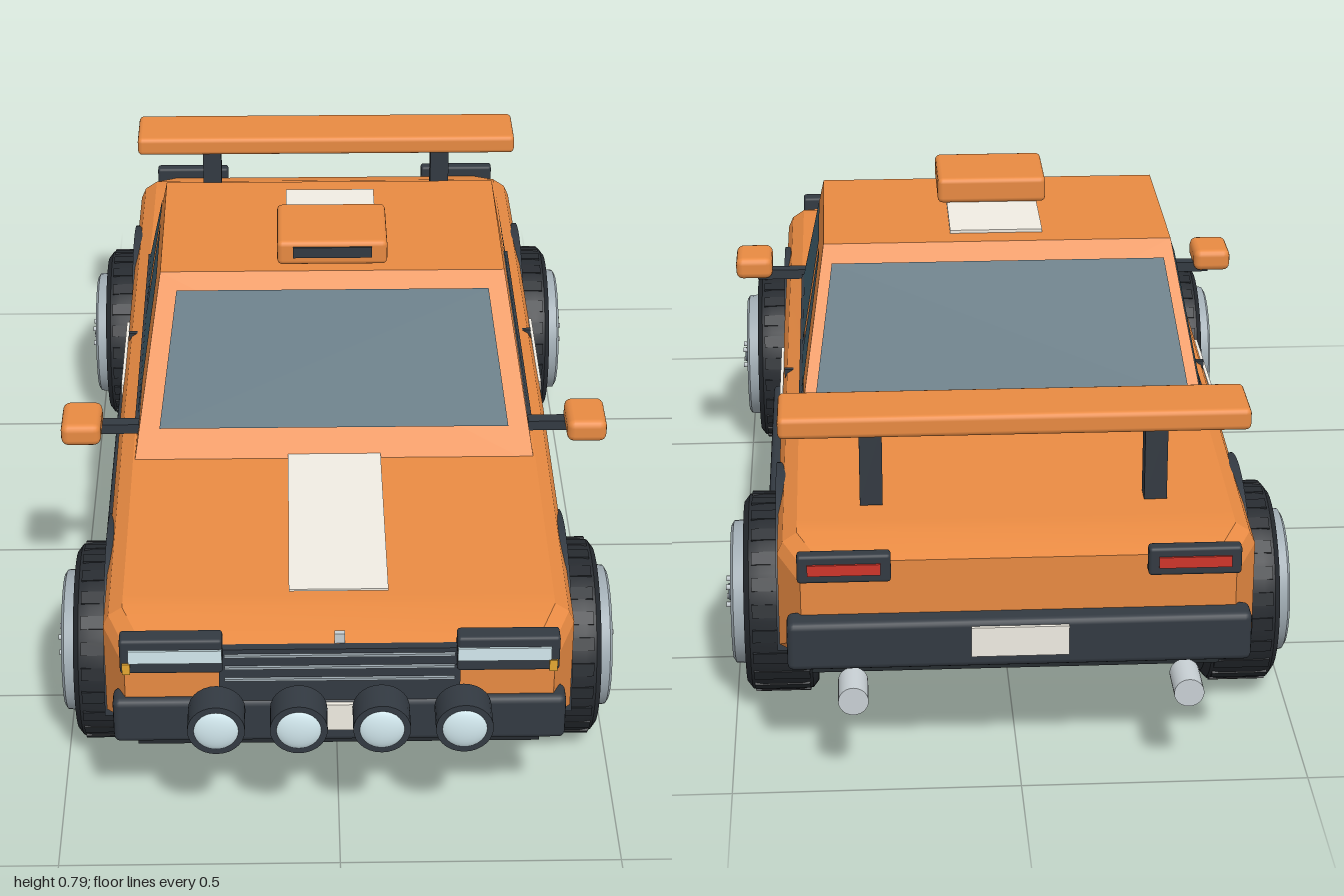
import * as THREE from 'three';
import { toCreasedNormals } from 'three/addons/utils/BufferGeometryUtils.js';
import { RoundedBoxGeometry } from 'three/addons/geometries/RoundedBoxGeometry.js';

const mat = (color, side = THREE.FrontSide) => new THREE.MeshStandardMaterial({ color, side });
const PAINT = mat(0xe88a42), DARK = mat(0x333a42), TYRE = mat(0x262a2f), UNDER = mat(0x262b2f);
const METAL = mat(0xa0acb3), DISH = mat(0x5a656d), CHROME = mat(0xc8d0d4), LENS = mat(0xd2e8ee);
const PLATE = mat(0xf0ece2), RED = mat(0xd0352a), AMBER = mat(0xe6a832), GLASS = mat(0x3f5e6c, THREE.DoubleSide);

const WHEEL_Z = [0.57, -0.59], WHEEL_R = 0.184, ARCH_R = 0.21;

function add(parent, name, geo, material, x = 0, y = 0, z = 0) {
  const m = new THREE.Mesh(geo, material);
  m.name = name;
  m.position.set(x, y, z);
  parent.add(m);
  return m;
}

// Box with optional rounded edges
function box(parent, name, material, [w, h, d], [x, y, z], r = 0) {
  const geo = r ? new RoundedBoxGeometry(w, h, d, 2, r) : new THREE.BoxGeometry(w, h, d);
  return add(parent, name, geo, material, x, y, z);
}

// Closed skin through rings of points, ordered front to back
function loft(rings) {
  const n = rings[0].length, idx = [], last = (rings.length - 1) * n;
  for (let r = 0; r < rings.length - 1; r++) {
    for (let i = 0; i < n; i++) {
      const a = r * n + i, b = r * n + (i + 1) % n;
      idx.push(a, a + n, b + n, a, b + n, b);
    }
  }
  for (let i = 1; i < n - 1; i++) idx.push(0, i, i + 1, last, last + i + 1, last + i);
  const geo = new THREE.BufferGeometry();
  geo.setAttribute('position', new THREE.Float32BufferAttribute(rings.flat(2), 3));
  geo.setIndex(idx);
  return toCreasedNormals(geo, 0.35);
}

// Body shell: cross-sections along z, with the underside lifted over the wheels
function bodyGeometry() {
  // z, half width, bottom, top
  const keys = [[0.905, 0.375, 0.21, 0.405], [0.82, 0.415, 0.17, 0.432], [0.14, 0.415, 0.17, 0.455],
    [-0.44, 0.415, 0.17, 0.44], [-0.85, 0.415, 0.17, 0.425], [-0.917, 0.375, 0.21, 0.4]];
  const stations = keys.map(k => k[0]);
  for (const c of WHEEL_Z) {
    stations.push(c + ARCH_R + 0.001, c - ARCH_R - 0.001);
    for (let i = 0; i <= 20; i++) stations.push(c + ARCH_R * Math.cos(Math.PI * i / 20));
  }
  stations.sort((a, b) => b - a);
  return loft(stations.map(z => {
    let k = 0;
    while (k < keys.length - 2 && z < keys[k + 1][0]) k++;
    const t = (keys[k][0] - z) / (keys[k][0] - keys[k + 1][0]);
    const [w, yb, yt] = [1, 2, 3].map(j => THREE.MathUtils.lerp(keys[k][j], keys[k + 1][j], t));
    let arch = 0;
    for (const c of WHEEL_Z) {
      const d = Math.abs(z - c);
      if (d <= ARCH_R + 1e-6) arch = WHEEL_R + Math.sqrt(Math.max(0, ARCH_R ** 2 - d * d));
    }
    const half = [[w - 0.065, Math.max(yb, arch)], [w, Math.max(yb + 0.04, arch)],
      [w, Math.max(yt - 0.04, arch)], [w - 0.01, yt - 0.017], [w - 0.035, yt]];
    return [...half.map(([x, y]) => [x, y, z]), ...half.reverse().map(([x, y]) => [-x, y, z])];
  }));
}

// Sloping cabin planes as functions of height
const rise = y => (y - 0.455) / 0.275;
const cabinX = y => 0.375 - 0.047 * rise(y);
const cabinFront = y => 0.355 - 0.215 * rise(y);
const cabinRear = y => -0.437 + 0.2 * rise(y);

// Flat pane drawn in two dimensions and laid on a cabin plane
function pane(parent, name, pts, place) {
  const geo = new THREE.ShapeGeometry(new THREE.Shape(pts.map(p => new THREE.Vector2(...p))));
  const pos = geo.attributes.position;
  for (let i = 0; i < pos.count; i++) pos.setXYZ(i, ...place(pos.getX(i), pos.getY(i)));
  geo.computeVertexNormals();
  add(parent, name, geo, GLASS);
}

function cabin() {
  const g = new THREE.Group();
  g.name = 'cabin';
  const ring = (zAt) => [[1, 0.435], [1, 0.73], [-1, 0.73], [-1, 0.435]].map(([s, y]) => [s * cabinX(y), y, zAt(y)]);
  add(g, 'cabinShell', loft([ring(cabinFront), ring(cabinRear)]), PAINT);
  const screen = (x0, y0, x1, y1) => [[-x0, y0], [x0, y0], [x1, y1], [-x1, y1]];
  pane(g, 'windscreen', screen(0.33, 0.495, 0.297, 0.703), (x, y) => [x, y, cabinFront(y) + 0.004]);
  pane(g, 'rearWindow', screen(0.35, 0.477, 0.313, 0.7), (x, y) => [x, y, cabinRear(y) - 0.004]);
  for (const s of [1, -1]) {
    const side = (z, y) => [s * (cabinX(y) + 0.004), y, z];
    pane(g, 'doorWindow', [[0.265, 0.485], [0.107, 0.7], [-0.128, 0.7], [-0.128, 0.485]], side);
    pane(g, 'quarterWindow', [[-0.17, 0.485], [-0.17, 0.7], [-0.225, 0.7], [-0.395, 0.485]], side);
    box(g, 'windowTrim', DARK, [0.012, 0.01, 0.67], [s * 0.373, 0.476, -0.065]);
  }
  // Roof stripe and scoop
  box(g, 'roofStripe', PLATE, [0.175, 0.006, 0.3], [0, 0.733, -0.04]);
  box(g, 'roofScoop', PAINT, [0.21, 0.05, 0.165], [0, 0.761, 0.048], 0.01);
  box(g, 'scoopOpening', DARK, [0.15, 0.022, 0.012], [0, 0.765, 0.128]);
  return g;
}

// Wheel with its axle along y, outer face up, turned to face sideways
function wheel() {
  const g = new THREE.Group();
  g.name = 'wheel';
  const lathe = pts => toCreasedNormals(new THREE.LatheGeometry(pts.map(p => new THREE.Vector2(...p)), 40), 0.5);
  add(g, 'tyre', lathe([[0, -0.06], [0.12, -0.06], [0.165, -0.065], [0.178, -0.055], [0.182, -0.035],
    [0.182, 0.035], [0.178, 0.055], [0.165, 0.065], [0.128, 0.065], [0.122, 0.05], [0, 0.05]]), TYRE);
  add(g, 'rimDish', new THREE.CylinderGeometry(0.118, 0.118, 0.02, 40), DISH, 0, 0.048, 0);
  add(g, 'rimRing', lathe([[0.132, 0.06], [0.13, 0.085], [0.122, 0.09], [0.11, 0.085], [0.11, 0.05]]), METAL);
  add(g, 'hub', new THREE.CylinderGeometry(0.032, 0.036, 0.04, 20), METAL, 0, 0.07, 0);
  add(g, 'hubCap', new THREE.CylinderGeometry(0.015, 0.018, 0.01, 16), DISH, 0, 0.093, 0);
  for (let i = 0; i < 8; i++) {
    const a = i * Math.PI / 4, c = Math.cos(a), s = Math.sin(a);
    box(g, 'spoke', METAL, [0.095, 0.022, 0.017], [c * 0.07, 0.068, s * 0.07]).rotation.y = -a;
    if (i % 2) add(g, 'wheelNut', new THREE.CylinderGeometry(0.005, 0.005, 0.016, 6), CHROME, c * 0.025, 0.094, s * 0.025);
  }
  for (let i = 0; i < 24; i++) {
    const a = i * Math.PI / 12;
    box(g, 'treadBlock', TYRE, [0.006, 0.1, 0.024], [Math.cos(a) * 0.18, 0, Math.sin(a) * 0.18]).rotation.y = -a;
  }
  return g;
}

// Half-ring trim over a wheel
function flareGeometry() {
  const shape = new THREE.Shape();
  shape.absarc(0, 0, 0.235, 0, Math.PI, false);
  shape.absarc(0, 0, ARCH_R - 0.002, Math.PI, 0, true);
  const geo = new THREE.ExtrudeGeometry(shape, { depth: 0.03, bevelEnabled: false, curveSegments: 28 });
  return toCreasedNormals(geo.translate(0, 0, -0.015).rotateY(Math.PI / 2), 0.5);
}

export function createModel() {
  const car = new THREE.Group();
  car.name = 'rallyCar';
  add(car, 'bodyShell', bodyGeometry(), PAINT);
  box(car, 'underTray', UNDER, [0.72, 0.025, 1.68], [0, 0.159, 0]);
  box(car, 'bonnetStripe', PLATE, [0.175, 0.004, 0.45], [0, 0.452, 0.577]);
  car.add(cabin());

  // Front end
  box(car, 'frontBumper', DARK, [0.795, 0.09, 0.05], [0, 0.255, 0.895], 0.012);
  box(car, 'grille', DARK, [0.42, 0.11, 0.03], [0, 0.352, 0.9]);
  for (const y of [0.345, 0.37, 0.395]) box(car, 'grilleBar', METAL, [0.4, 0.005, 0.008], [0, y, 0.916]);
  box(car, 'frontPlate', PLATE, [0.168, 0.055, 0.008], [0, 0.267, 0.922]);
  box(car, 'bonnetPin', CHROME, [0.018, 0.02, 0.01], [0, 0.418, 0.895]);
  for (const x of [-0.215, -0.072, 0.072, 0.215]) {
    add(car, 'spotLampHousing', new THREE.CylinderGeometry(0.05, 0.05, 0.062, 28).rotateX(Math.PI / 2), DARK, x, 0.29, 0.96);
    add(car, 'spotLampLens', new THREE.SphereGeometry(0.043, 28, 16), LENS, x, 0.29, 0.984).scale.z = 0.37;
  }

  // Rear end
  box(car, 'rearBumper', DARK, [0.8, 0.09, 0.055], [0, 0.255, -0.927], 0.012);
  box(car, 'rearPlate', PLATE, [0.168, 0.055, 0.008], [0, 0.262, -0.957]);
  box(car, 'spoilerWing', PAINT, [0.82, 0.04, 0.125], [0, 0.595, -0.737], 0.01);

  for (const s of [1, -1]) {
    // Lamps
    box(car, 'headlampHousing', DARK, [0.178, 0.07, 0.036], [s * 0.292, 0.4, 0.909], 0.006);
    box(car, 'headlamp', LENS, [0.162, 0.026, 0.008], [s * 0.285, 0.403, 0.927]);
    box(car, 'indicator', AMBER, [0.014, 0.022, 0.01], [s * 0.37, 0.378, 0.926]);
    box(car, 'tailLampHousing', DARK, [0.16, 0.052, 0.026], [s * 0.3, 0.397, -0.929], 0.006);
    box(car, 'tailLamp', RED, [0.125, 0.02, 0.008], [s * 0.3, 0.397, -0.942]);

    // Side details
    box(car, 'sill', DARK, [0.05, 0.05, 0.65], [s * 0.42, 0.193, -0.015], 0.01);
    box(car, 'doorPanel', PLATE, [0.006, 0.11, 0.255], [s * 0.416, 0.36, -0.098]);
    box(car, 'doorHandle', DARK, [0.02, 0.018, 0.01], [s * 0.4, 0.43, -0.14]);
    box(car, 'mirrorArm', DARK, [0.1, 0.02, 0.025], [s * 0.42, 0.479, 0.29]);
    box(car, 'mirror', PAINT, [0.075, 0.045, 0.1], [s * 0.477, 0.497, 0.31], 0.014);

    // Spoiler posts and exhausts
    box(car, 'spoilerPost', DARK, [0.04, 0.15, 0.04], [s * 0.25, 0.505, -0.737]);
    const tip = new THREE.CylinderGeometry(0.026, 0.026, 0.075, 24).rotateX(Math.PI / 2);
    add(car, 'exhaust', tip, CHROME, s * 0.288, 0.175, -0.9625);

    for (const z of WHEEL_Z) {
      add(car, 'archFlare', flareGeometry(), DARK, s * 0.405, WHEEL_R, z);
      const w = wheel();
      w.position.set(s * 0.415, WHEEL_R, z);
      w.rotation.z = -s * Math.PI / 2;
      car.add(w);
    }
  }
  return car;
}
